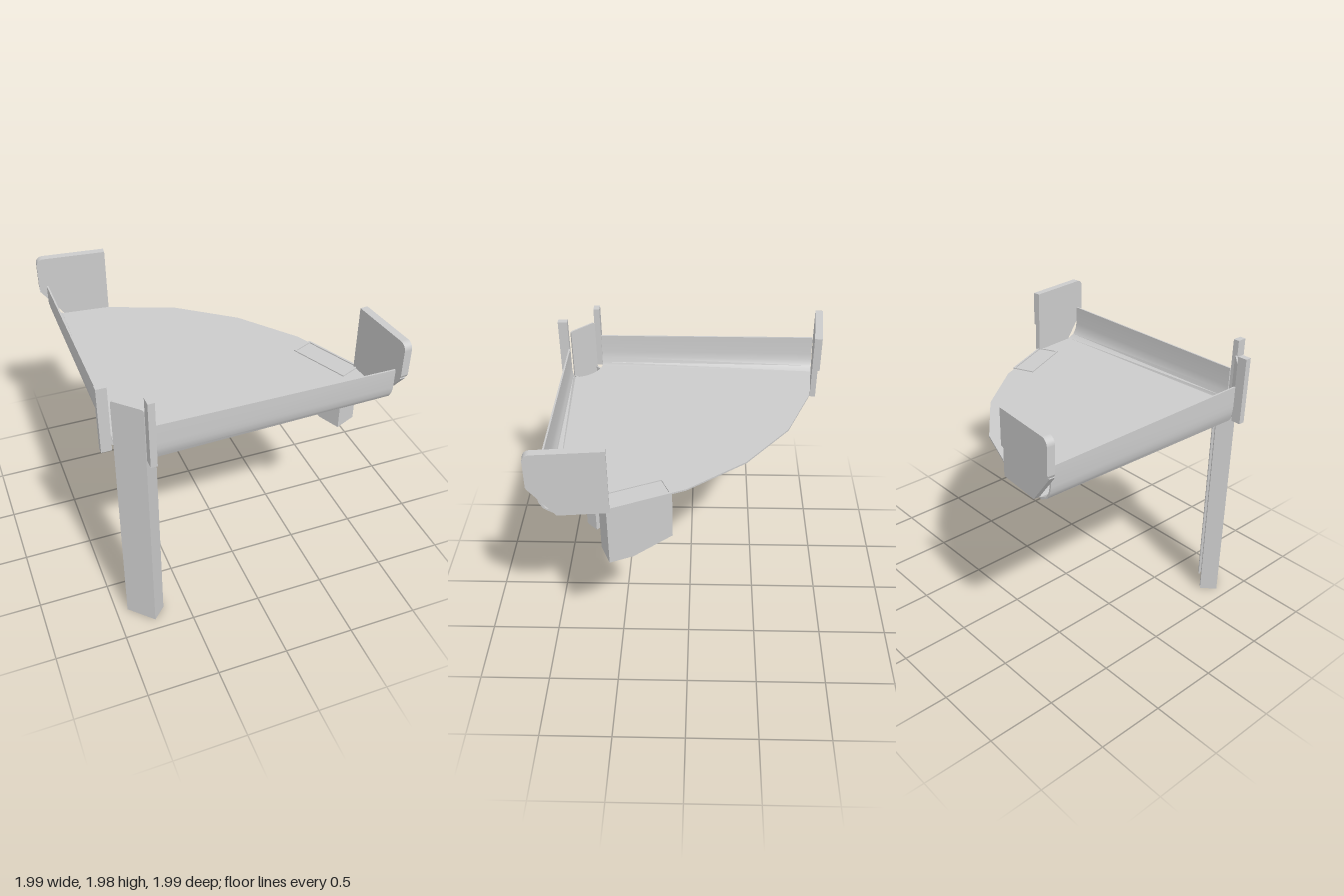
import * as THREE from 'three';
import { mergeVertices, toCreasedNormals } from 'three/addons/utils/BufferGeometryUtils.js';

const material = new THREE.MeshStandardMaterial({ color: 0xcccccc, side: THREE.DoubleSide });

// Reflection across the tray's diagonal: (x, z) -> (-z, -x)
const DIAGONAL = new THREE.Matrix4().set(0, 0, -1, 0, 0, 1, 0, 0, -1, 0, 0, 0, 0, 0, 0, 1);

function mirrored(geometry) {
  const g = mergeVertices(geometry.clone()).applyMatrix4(DIAGONAL);
  g.index.array.reverse();
  return g;
}

function extrude(shape, depth) {
  return new THREE.ExtrudeGeometry(shape, { depth, bevelEnabled: false, curveSegments: 8 });
}

function polygon(points) {
  return new THREE.Shape(points.map(([x, y]) => new THREE.Vector2(x, y)));
}

// Loft a closed loop of corners from one end to the other, with end caps
function loft(loopA, loopB) {
  const n = loopA.length;
  const index = [];
  for (let i = 0; i < n; i++) {
    const j = (i + 1) % n;
    index.push(i, j, n + i, j, n + j, n + i);
  }
  // the loop runs down one side and back up the other, so caps are strips
  for (let i = 0; i < n / 2 - 1; i++) {
    const k = n - 1 - i;
    index.push(i, k, i + 1, i + 1, k, k - 1);
    index.push(n + i, n + i + 1, n + k, n + i + 1, n + k - 1, n + k);
  }
  const g = new THREE.BufferGeometry();
  g.setAttribute('position', new THREE.Float32BufferAttribute([...loopA, ...loopB].flat(), 3));
  g.setIndex(index);
  return toCreasedNormals(g, 0.6);
}

// Wall section at position x: upright above, sweeping inward to the floor below
function wallLoop(x, sweep) {
  const outer = [[0, 1.76], [0, 1.62], [0.1, 1.575], [0.4, 1.53], [1, 1.5]];
  const a = outer.map(([s, y]) => [x, y, 0.935 - s * sweep]);
  const b = outer.map(([s, y]) => [x, y + s * 0.012, 0.923 - s * sweep]);
  return [...a, ...b.reverse()];
}

export function createModel() {
  const model = new THREE.Group();
  const add = (name, geometry, parent = model) => {
    const mesh = new THREE.Mesh(geometry, material);
    mesh.name = name;
    parent.add(mesh);
    return mesh;
  };
  const addPair = (name, geometry) => {
    add(name + 'Front', geometry);
    add(name + 'Side', mirrored(geometry));
  };

  // Quarter-round floor with a scooped corner
  const floor = new THREE.Shape();
  floor.moveTo(-0.71, 0.915);
  floor.absarc(-0.93, 0.93, 0.22, -0.07, -Math.PI / 2 + 0.07, true);
  [[-0.85, -0.93], [-0.5, -0.89], [-0.02, -0.7], [0.38, -0.39], [0.69, 0.01], [0.9, 0.49], [0.93, 0.85]]
    .forEach(([x, z]) => floor.lineTo(x, z));
  add('trayFloor', extrude(floor, 0.012).rotateX(Math.PI / 2).translate(0, 1.512, 0));

  // Two straight walls
  addPair('trayWall', loft(wallLoop(-0.71, 0.02), wallLoop(0.93, 0.085)));

  // End plates: thick rounded upper pad over a thinner, cut-off lower part
  const place = (g) => g.rotateY(-Math.atan2(0.5, 0.05)).translate(0.89, 0, 0.49);
  const pad = new THREE.Shape();
  pad.moveTo(0, 1.72);
  pad.lineTo(0.49, 1.72);
  pad.lineTo(0.5, 1.74);
  pad.lineTo(0.5, 1.93);
  pad.absarc(0.45, 1.93, 0.05, 0, Math.PI / 2, false);
  pad.lineTo(0, 1.98);
  addPair('endPad', place(extrude(pad, 0.055).translate(0, 0, -0.055)));
  const skirt = polygon([[0, 1.5], [0.33, 1.5], [0.5, 1.72], [0, 1.72]]);
  addPair('endSkirt', place(extrude(skirt, 0.04).translate(0, 0, -0.04)));

  // Narrow upright strips beside the post
  addPair('cornerStrip', new THREE.BoxGeometry(0.045, 0.48, 0.07).translate(-0.735, 1.74, 0.965));

  // Lipped channel post, standing diagonally across the corner
  const post = new THREE.Group();
  post.name = 'post';
  post.position.set(-0.84, 0, 0.84);
  post.rotation.y = -Math.PI / 4;
  model.add(post);
  const w = 0.113, d = 0.127, t = 0.012, lip = 0.042;
  const half = [[w, 0], [w, d], [w - lip, d], [w - lip, d - t], [w - t, d - t], [w - t, t]];
  const channel = polygon([...half, ...half.map(([x, y]) => [-x, y]).reverse()]);
  add('postChannel', extrude(channel, 1.5).rotateX(-Math.PI / 2), post);
  const tongue = new THREE.Shape();
  tongue.moveTo(-w, 1.5);
  tongue.lineTo(w, 1.5);
  tongue.lineTo(w, 1.86);
  tongue.quadraticCurveTo(w, 1.88, w - 0.02, 1.88);
  tongue.lineTo(-w + 0.02, 1.88);
  tongue.quadraticCurveTo(-w, 1.88, -w, 1.86);
  add('postTongue', extrude(tongue, t).translate(0, 0, -t), post);

  // Box hanging under the curved edge, with a sloped underside and a thin rim
  const box = new THREE.Group();
  box.name = 'hangingBox';
  box.position.set(0.74, 0, 0.1);
  box.rotation.y = -Math.atan2(0.41, 0.18);
  model.add(box);
  const L = 0.448, D = 0.17;
  const side = polygon([[0, 1.16], [0.28, 1.07], [L, 1.07], [L, 1.505], [0, 1.505]]);
  add('boxBody', extrude(side, D), box);
  const rim = polygon([[0, 0], [L, 0], [L, D], [0, D]]);
  const r = 0.014;
  rim.holes.push(polygon([[r, r], [r, D - r], [L - r, D - r], [L - r, r]]));
  add('boxRim', extrude(rim, 0.02).rotateX(Math.PI / 2).translate(0, 1.52, 0), box);

  return model;
}
